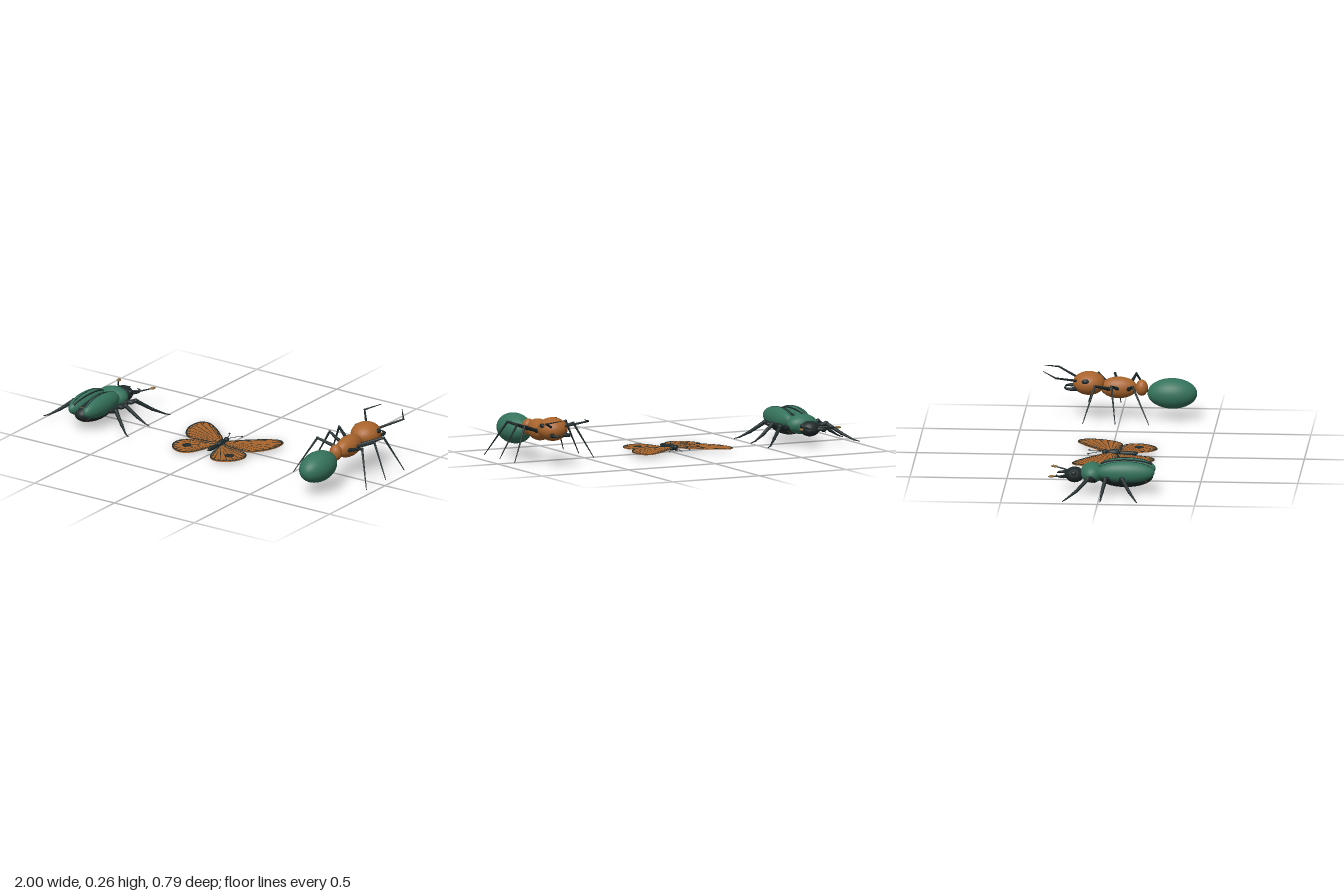
import * as THREE from 'three';

const mat = (name, color, side = THREE.FrontSide) => {
  const m = new THREE.MeshStandardMaterial({ color, side });
  m.name = name;
  return m;
};
const V = (p) => new THREE.Vector3(...p);

export function createModel() {
  const green = mat('beetle green', 0x35735c);
  const orange = mat('rust orange', 0xa9642c);
  const dark = mat('black chitin', 0x1f2a2b);
  const tan = mat('tan', 0x8c6b3c);

  const model = new THREE.Group();
  model.name = 'insects';
  const sides = [1, -1];

  const add = (parent, name, geo, material) => {
    const m = new THREE.Mesh(geo, material);
    m.name = name;
    parent.add(m);
    return m;
  };
  const group = (name, x) => {
    const g = new THREE.Group();
    g.name = name;
    g.position.x = x;
    model.add(g);
    return g;
  };
  // Smooth ellipsoid with its centre and half sizes
  const ball = (parent, name, material, c, r) => {
    const m = add(parent, name, new THREE.SphereGeometry(1, 32, 20).rotateX(Math.PI / 2).scale(...r), material);
    m.position.set(...c);
    return m;
  };
  // Tapered rod between two points
  const rod = (parent, name, material, a, b, r0, r1) => {
    const p = V(a), d = V(b).sub(p);
    const m = add(parent, name, new THREE.CylinderGeometry(r1, r0, d.length(), 10), material);
    m.position.copy(p).addScaledVector(d, 0.5);
    m.quaternion.setFromUnitVectors(new THREE.Vector3(0, 1, 0), d.normalize());
    return m;
  };
  // Chain of rods with a ball at every joint; radii are given per point
  const limb = (parent, name, points, radii, joint = 1.15) => {
    for (let i = 0; i + 1 < points.length; i++) {
      rod(parent, name, dark, points[i], points[i + 1], radii[i], radii[i + 1]);
      const r = radii[i] * joint;
      ball(parent, name + 'Joint', dark, points[i], [r, r, r]);
    }
  };
  // Curved horn whose thickness shrinks along its path
  const horn = (parent, name, points, r, tip = 0.1) => {
    const curve = new THREE.CatmullRomCurve3(points.map(V));
    const n = 14, geo = new THREE.TubeGeometry(curve, n, r, 10);
    const pos = geo.attributes.position, v = new THREE.Vector3();
    for (let i = 0; i < pos.count; i++) {
      const t = Math.floor(i / 11) / n, c = curve.getPointAt(t);
      v.fromBufferAttribute(pos, i).sub(c).multiplyScalar(1 - (1 - tip) * t).add(c);
      pos.setXYZ(i, v.x, v.y, v.z);
    }
    geo.computeVertexNormals();
    add(parent, name, geo, dark);
  };

  // ---------- Beetle ----------
  const beetle = group('beetle', -0.735);
  ball(beetle, 'abdomen', dark, [0, 0.088, 0.125], [0.075, 0.058, 0.145]);
  ball(beetle, 'pronotum', green, [0, 0.103, -0.045], [0.083, 0.052, 0.06]);
  ball(beetle, 'head', dark, [0, 0.09, -0.135], [0.052, 0.04, 0.048]);
  for (const z of [0.03, 0.235]) {
    const k = Math.sqrt(1 - ((z - 0.125) / 0.145) ** 2);
    const ring = add(beetle, 'abdomenRing', new THREE.TorusGeometry(1, 0.03, 8, 40), tan);
    ring.scale.set(0.075 * k, 0.058 * k, 0.08);
    ring.position.set(0, 0.088, z);
  }
  for (const s of sides) {
    ball(beetle, 'wingCase', green, [s * 0.046, 0.117, 0.13], [0.046, 0.056, 0.15]);
    // Dark ridges following the curve of the wing case
    for (const [off, r] of [[-0.024, 0.0045], [-0.004, 0.0022]]) {
      const path = [];
      for (let i = 0; i <= 12; i++) {
        const u = -0.88 + (1.76 * i) / 12, k = Math.sqrt(1 - u * u);
        const e = off / 0.046;
        path.push(new THREE.Vector3(s * (0.046 + off * k), 0.117 + 0.056 * k * Math.sqrt(1 - e * e), 0.13 + 0.15 * u));
      }
      add(beetle, 'wingCaseRidge', new THREE.TubeGeometry(new THREE.CatmullRomCurve3(path), 30, r, 6), dark);
    }
    ball(beetle, 'eye', dark, [s * 0.043, 0.106, -0.137], [0.012, 0.012, 0.015]);
    horn(beetle, 'mandible', [[s * 0.028, 0.09, -0.165], [s * 0.052, 0.09, -0.195], [s * 0.046, 0.09, -0.218], [s * 0.02, 0.092, -0.229]], 0.013);
    limb(beetle, 'antenna', [[s * 0.035, 0.1, -0.165], [s * 0.075, 0.1, -0.195], [s * 0.102, 0.104, -0.238]], [0.005, 0.004, 0.003]);
    const club = ball(beetle, 'antennaClub', tan, [s * 0.106, 0.105, -0.247], [0.011, 0.006, 0.018]);
    club.rotation.y = s * -0.4;
    // Legs: hip, knee, shin end and foot tip as [z, z, z, z]
    for (const [z0, z1, z2, z3] of [[-0.03, -0.058, -0.115, -0.182], [0.045, 0.032, 0.02, 0.012], [0.1, 0.12, 0.16, 0.203]]) {
      limb(beetle, 'leg', [[s * 0.05, 0.075, z0], [s * 0.132, 0.1, z1], [s * 0.195, 0.05, z2], [s * 0.24, 0.021, z2 + (z3 - z2) * 0.7], [s * 0.266, 0.013, z3]],
        [0.013, 0.011, 0.008, 0.004, 0.002]);
      ball(beetle, 'thigh', dark, [s * 0.098, 0.09, z0 + (z1 - z0) * 0.6], [0.028, 0.013, 0.014]);
    }
  }

  // ---------- Butterfly ----------
  const fly = group('butterfly', -0.013);
  ball(fly, 'head', dark, [0, 0.026, -0.027], [0.014, 0.013, 0.015]);
  ball(fly, 'thorax', dark, [0, 0.022, 0.018], [0.017, 0.018, 0.036]);
  ball(fly, 'abdomen', dark, [0, 0.019, 0.092], [0.012, 0.012, 0.052]);

  // Outline points are [x, z] for the left wing
  const wings = [
    { name: 'foreWing', y: 0.019, root: [0.012, 0.005], spot: null, pts: [[0.01, -0.01], [0.09, -0.095], [0.17, -0.158], [0.222, -0.182], [0.259, -0.168], [0.273, -0.11], [0.258, -0.04], [0.225, 0.016], [0.18, 0.052], [0.11, 0.054], [0.045, 0.042], [0.01, 0.02]] },
    { name: 'hindWing', y: 0.0135, root: [0.015, 0.045], spot: [0.134, 0.14], pts: [[0.012, 0.03], [0.065, 0.05], [0.13, 0.05], [0.19, 0.068], [0.214, 0.118], [0.2, 0.176], [0.16, 0.219], [0.107, 0.236], [0.064, 0.213], [0.037, 0.16], [0.02, 0.09]] },
  ];
  const flat = (geo, y) => geo.rotateX(-Math.PI / 2).translate(0, y, 0);
  const toShape = (pts) => new THREE.Shape(pts.map(([x, z]) => new THREE.Vector2(x, -z)));
  for (const s of sides) for (const w of wings) {
    const curve = new THREE.CatmullRomCurve3(w.pts.map(([x, z]) => new THREE.Vector3(s * x, 0, z)), true);
    const edge = curve.getSpacedPoints(72).slice(0, 72).map((p) => [p.x, p.z]);
    const root = [s * w.root[0], w.root[1]];
    const mid = edge.reduce((a, p) => [a[0] + p[0] / 72, a[1] + p[1] / 72], [0, 0]);
    const toward = (c, p, t) => [c[0] + (p[0] - c[0]) * t, c[1] + (p[1] - c[1]) * t];
    const top = w.y + 0.0045;

    add(fly, w.name, flat(new THREE.ExtrudeGeometry(toShape(edge), { depth: 0.0035, bevelEnabled: false }), w.y), orange);
    const border = toShape(edge);
    border.holes.push(toShape(edge.map((p) => toward(mid, p, 0.92))));
    add(fly, w.name + 'Border', flat(new THREE.ShapeGeometry(border), top), dark);

    // Veins fanning from the root, and dashes between them near the margin
    const strip = (name, a, b, wa, wb) => {
      const l = Math.hypot(b[0] - a[0], b[1] - a[1]);
      const nx = -(b[1] - a[1]) / l, nz = (b[0] - a[0]) / l;
      const at = (p, k) => [p[0] + nx * k, p[1] + nz * k];
      add(fly, name, flat(new THREE.ShapeGeometry(toShape([at(a, wa), at(b, wb), at(b, -wb), at(a, -wa)])), top), dark);
    };
    for (let i = 14; i <= 58; i += 4) {
      strip(w.name + 'Vein', toward(root, edge[i], 0.12 + 0.25 * ((i / 4 | 0) % 2)), toward(root, edge[i], 0.95), 0.0012, 0.0022);
      const e = edge[i + 2];
      strip(w.name + 'Dash', toward(mid, e, 0.76), toward(mid, e, 0.93), 0.0015, 0.005);
    }
    if (w.spot) {
      const spot = add(fly, 'wingSpot', flat(new THREE.CircleGeometry(0.025, 24), top + 0.0006), dark);
      spot.position.set(s * w.spot[0], 0, w.spot[1]);
    }
  }
  for (const s of sides) {
    limb(fly, 'antenna', [[s * 0.005, 0.03, -0.035], [s * 0.02, 0.027, -0.08], [s * 0.038, 0.024, -0.107]], [0.0015, 0.0014, 0.0014]);
    ball(fly, 'antennaTip', dark, [s * 0.039, 0.024, -0.11], [0.004, 0.004, 0.006]);
    for (const z of [-0.005, 0.02, 0.045])
      limb(fly, 'leg', [[s * 0.008, 0.012, z], [s * 0.026, 0.01, z + (z - 0.02) * 0.6], [s * 0.038, 0.002, z + (z - 0.02)]], [0.002, 0.002, 0.0015]);
  }

  // ---------- Ant ----------
  const ant = group('ant', 0.767);
  ball(ant, 'head', orange, [0, 0.188, -0.162], [0.077, 0.061, 0.083]);
  ball(ant, 'thorax', orange, [0, 0.167, -0.008], [0.05, 0.056, 0.095]);
  ball(ant, 'waist', orange, [0, 0.167, 0.11], [0.034, 0.042, 0.032]);
  ball(ant, 'abdomen', green, [0, 0.14, 0.268], [0.08, 0.079, 0.128]);
  for (const s of sides) {
    ball(ant, 'eye', dark, [s * 0.066, 0.21, -0.176], [0.012, 0.013, 0.02]);
    horn(ant, 'mandible', [[s * 0.03, 0.165, -0.22], [s * 0.046, 0.165, -0.25], [s * 0.038, 0.165, -0.275], [s * 0.01, 0.165, -0.288]], 0.013, 0.25);
    limb(ant, 'antenna', [[s * 0.038, 0.207, -0.222], [s * 0.122, 0.241, -0.325], [s * 0.064, 0.262, -0.395]], [0.0065, 0.0045, 0.0015]);
    // Legs: hip, knee and foot
    for (const [z0, z1, z2] of [[-0.06, -0.122, -0.18], [-0.012, -0.037, -0.012], [0.045, 0.073, 0.162]])
      limb(ant, 'leg', [[s * 0.04, 0.168, z0], [s * 0.14, 0.206, z1], [s * 0.229, 0.028, z2]], [0.01, 0.006, 0.002]);
  }
  return model;
}
